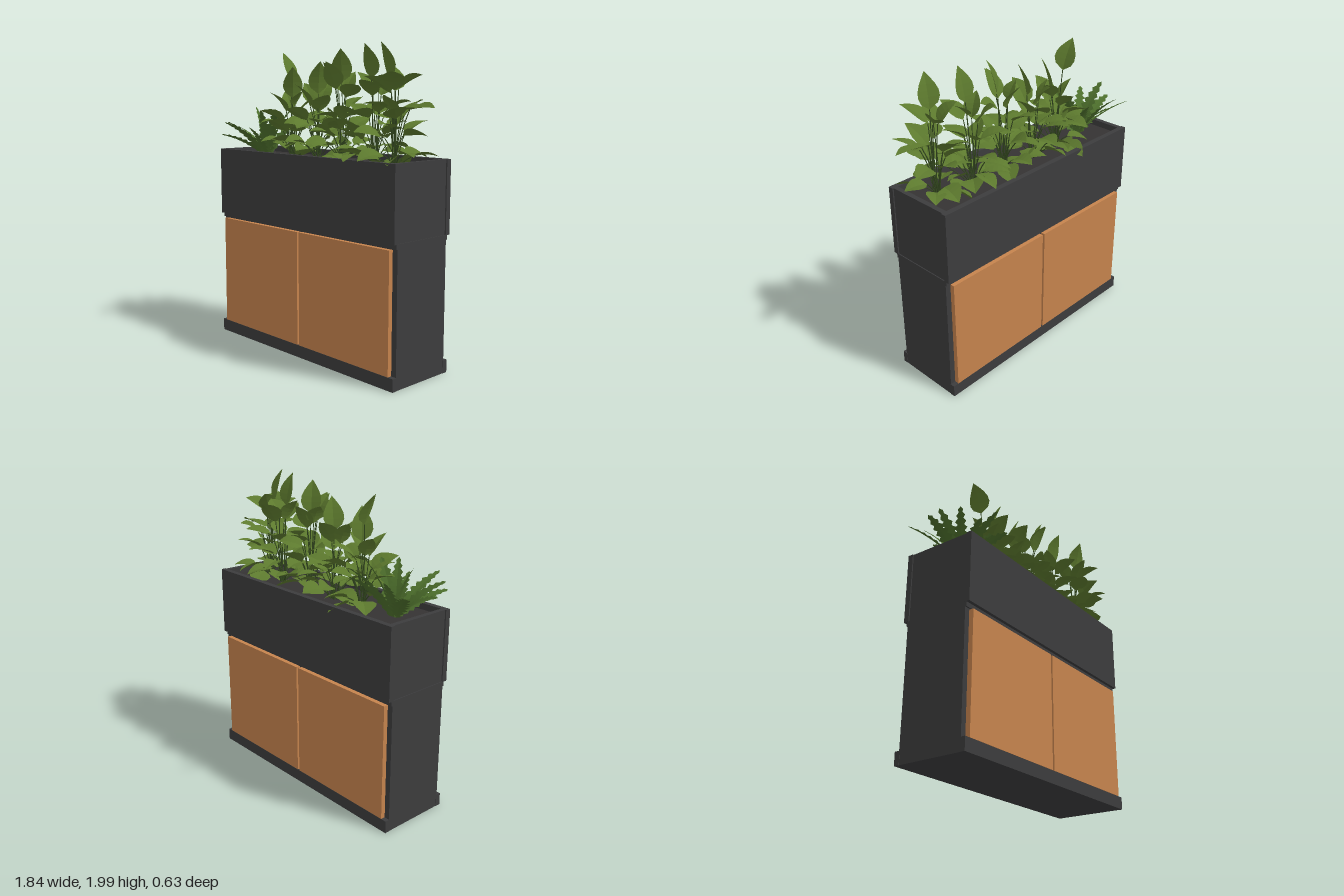
import * as THREE from 'three';
import { mergeGeometries } from 'three/addons/utils/BufferGeometryUtils.js';

const make = (color, extra = {}) => new THREE.MeshStandardMaterial({ color, ...extra });

export function createModel() {
  const group = new THREE.Group();
  const leafy = { side: THREE.DoubleSide, flatShading: true };
  const mats = {
    charcoal: make(0x3c3c3d),
    wood: make(0xc5834d),
    soil: make(0x353333),
    leaf: make(0x5d7a2e, leafy),
    fern: make(0x4d6f2c, leafy),
    stem: make(0x33481f),
  };
  for (const [name, m] of Object.entries(mats)) m.name = name;

  let seed = 11;
  const rand = () => {
    seed = (seed * 16807) % 2147483647;
    return seed / 2147483647;
  };
  const jitter = (v, amount) => v + (rand() - 0.5) * 2 * amount;

  const add = (name, geometry, material) => {
    const mesh = new THREE.Mesh(geometry, material);
    mesh.name = name;
    group.add(mesh);
    return mesh;
  };
  // Box given by its limits on each axis
  const box = (name, material, x0, x1, y0, y1, z0, z1) =>
    add(name, new THREE.BoxGeometry(x1 - x0, y1 - y0, z1 - z0), material)
      .position.set((x0 + x1) / 2, (y0 + y1) / 2, (z0 + z1) / 2);

  // Cabinet with doors and plinth strips on both long sides
  box('cabinetBody', mats.charcoal, -0.818, 0.818, 0, 0.85, -0.215, 0.215);
  box('cabinetTop', mats.charcoal, -0.818, 0.818, 0.828, 0.858, -0.224, 0.224);
  for (const s of [1, -1]) {
    const z = [0.21 * s, 0.245 * s].sort((a, b) => a - b);
    box('plinth', mats.charcoal, -0.82, 0.82, 0, 0.08, ...z);
    box('door', mats.wood, -0.782, -0.008, 0.081, 0.822, ...z);
    box('door', mats.wood, 0.008, 0.782, 0.081, 0.822, ...z);
    // Planter: long boards overlap the slightly recessed ends
    box('planterBoard', mats.charcoal, -0.82, 0.82, 0.857, 1.31, ...z);
    const x = [0.78 * s, 0.812 * s].sort((a, b) => a - b);
    box('planterEnd', mats.charcoal, ...x, 0.88, 1.31, -0.215, 0.215);
  }
  box('planterFloor', mats.charcoal, -0.812, 0.812, 0.857, 0.885, -0.215, 0.215);
  box('soil', mats.soil, -0.785, 0.785, 1.2, 1.27, -0.212, 0.212);

  // Folded, curving blade: three vertices per row (left edge, midrib, right edge)
  const blade = (base, { az, pitch, length, halfWidth, rows, droop, fold, roll }) => {
    const pos = [], index = [];
    const p = base.clone();
    const flat = new THREE.Vector3(-Math.sin(az), 0, Math.cos(az));
    for (let i = 0; i <= rows; i++) {
      const t = i / rows, e = pitch - droop * t, w = halfWidth(t, i);
      const dir = new THREE.Vector3(Math.cos(e) * Math.cos(az), Math.sin(e), Math.cos(e) * Math.sin(az));
      const side = flat.clone().applyAxisAngle(dir, roll);
      const up = new THREE.Vector3().crossVectors(side, dir);
      for (const k of [1, 0, -1]) {
        const v = p.clone().addScaledVector(side, k * w).addScaledVector(up, Math.abs(k) * w * fold);
        pos.push(v.x, v.y, v.z);
      }
      p.addScaledVector(dir, length / rows);
      if (i === rows) break;
      for (const a of [3 * i, 3 * i + 1]) {
        index.push(a + 1, a, a + 4, a, a + 3, a + 4);
      }
    }
    const g = new THREE.BufferGeometry();
    g.setAttribute('position', new THREE.Float32BufferAttribute(pos, 3));
    g.setIndex(index);
    g.computeVertexNormals();
    return g;
  };
  const leafShape = (half) => (t) => half * Math.sin(Math.PI * Math.pow(t, 0.72));

  // Broad-leaved plants: whorls of leaves on thin stalks
  const plant = ({ x, z, top, lean, extra = [] }) => {
    const leaves = [], stems = [];
    const leaf = (base, az, pitch, length, half, droop, roll) => {
      leaves.push(blade(base, {
        az, pitch, length, halfWidth: leafShape(half), rows: 6, droop, fold: 0.25, roll,
      }));
      const foot = new THREE.Vector3(jitter(x, 0.02), 1.25, jitter(z, 0.02));
      const mid = new THREE.Vector3().lerpVectors(foot, base, 0.4);
      mid.y += (base.y - foot.y) * 0.25;
      const curve = new THREE.QuadraticBezierCurve3(foot, mid, base);
      stems.push(new THREE.TubeGeometry(curve, 5, 0.0035, 4));
    };
    leaf(new THREE.Vector3(x + 0.04 * Math.cos(lean), top - 0.21, z + 0.04 * Math.sin(lean)),
      lean, 1.42, 0.215, 0.066, 0.3, 0);
    // count, height, radius, pitch, length, half width
    const whorls = [
      [4, top - 0.29, 0.04, 1.0, 0.19, 0.062],
      [5, top - 0.41, 0.055, 0.65, 0.19, 0.066],
      [6, 1.46, 0.075, 0.4, 0.18, 0.066],
      [8, 1.335, 0.09, 0.15, 0.175, 0.064],
    ];
    for (const [count, y, radius, pitch, length, half] of whorls) {
      const start = rand() * 6.28;
      for (let i = 0; i < count; i++) {
        let az = jitter(start + (i / count) * Math.PI * 2, 0.3);
        az -= 0.2 * Math.sin(2 * az) * -1;
        const reach = 1 - 0.2 * Math.cos(az) ** 2;
        const r = jitter(radius, 0.02) * reach;
        leaf(new THREE.Vector3(x + r * Math.cos(az), jitter(y, 0.045), z + r * Math.sin(az)),
          az, jitter(pitch, 0.3), jitter(length, 0.02) * reach, jitter(half, 0.01), 0.6, jitter(0, 0.5));
      }
    }
    // Single leaves: base position, azimuth, pitch, length
    for (const [ex, ey, ez, az, pitch, length] of extra) {
      leaf(new THREE.Vector3(ex, ey, ez), az, pitch, length, 0.07, 0.3, 0.25);
    }
    add('plantLeaves', mergeGeometries(leaves), mats.leaf);
    add('plantStems', mergeGeometries(stems), mats.stem);
  };
  [
    { x: -0.35, z: -0.02, top: 1.87, lean: 0.7,
      extra: [[-0.385, 1.78, -0.04, Math.PI, 1.25, 0.21]] },
    { x: -0.12, z: -0.03, top: 1.9, lean: 0.5 },
    { x: 0.13, z: -0.02, top: 1.97, lean: 0.9,
      extra: [[0.13, 1.72, 0.04, 1.5, 1.2, 0.19]] },
    { x: 0.41, z: -0.03, top: 1.99, lean: 1.6,
      extra: [[0.45, 1.34, 0.15, 1.4, -0.1, 0.17]] },
    { x: 0.63, z: 0.04, top: 1.99, lean: 1.9,
      extra: [[0.73, 1.6, 0.03, 0, 0.2, 0.185], [0.69, 1.55, 0.1, 0.9, 0.5, 0.17]] },
  ].forEach(plant);

  // Fern: arching fronds with toothed edges
  const fronds = [];
  const tooth = (t, i) => (i % 2 ? 0.068 : 0.036) * (1 - t) ** 0.5 * Math.min(1, 0.3 + t * 2.2);
  // azimuth, pitch, length, roll
  const layout = [
    [3.14, 0.85, 0.36, 0.4], [3.75, 0.85, 0.39, -0.4], [2.5, 1.0, 0.36, 0.4], [1.75, 0.95, 0.39, 0.2],
    [2.1, 0.75, 0.34, 0.3], [1.1, 0.95, 0.34, -0.4], [0.4, 1.25, 0.38, -0.5], [-0.3, 1.3, 0.42, 0.6],
    [-1.35, 1.05, 0.42, 0.3], [-0.9, 1.15, 0.4, 0.4], [4.2, 1.15, 0.36, -0.4],
    [3.4, 1.4, 0.38, 0.6], [0.9, 1.4, 0.36, -0.3],
  ];
  for (const [az, pitch, length, roll] of layout) {
    const base = new THREE.Vector3(-0.61 + 0.02 * Math.cos(az), 1.26, 0.02 * Math.sin(az));
    fronds.push(blade(base, { az, pitch, length, halfWidth: tooth, rows: 18, droop: 0.6, fold: 0.15, roll }));
  }
  add('fernFronds', mergeGeometries(fronds), mats.fern);

  return group;
}
